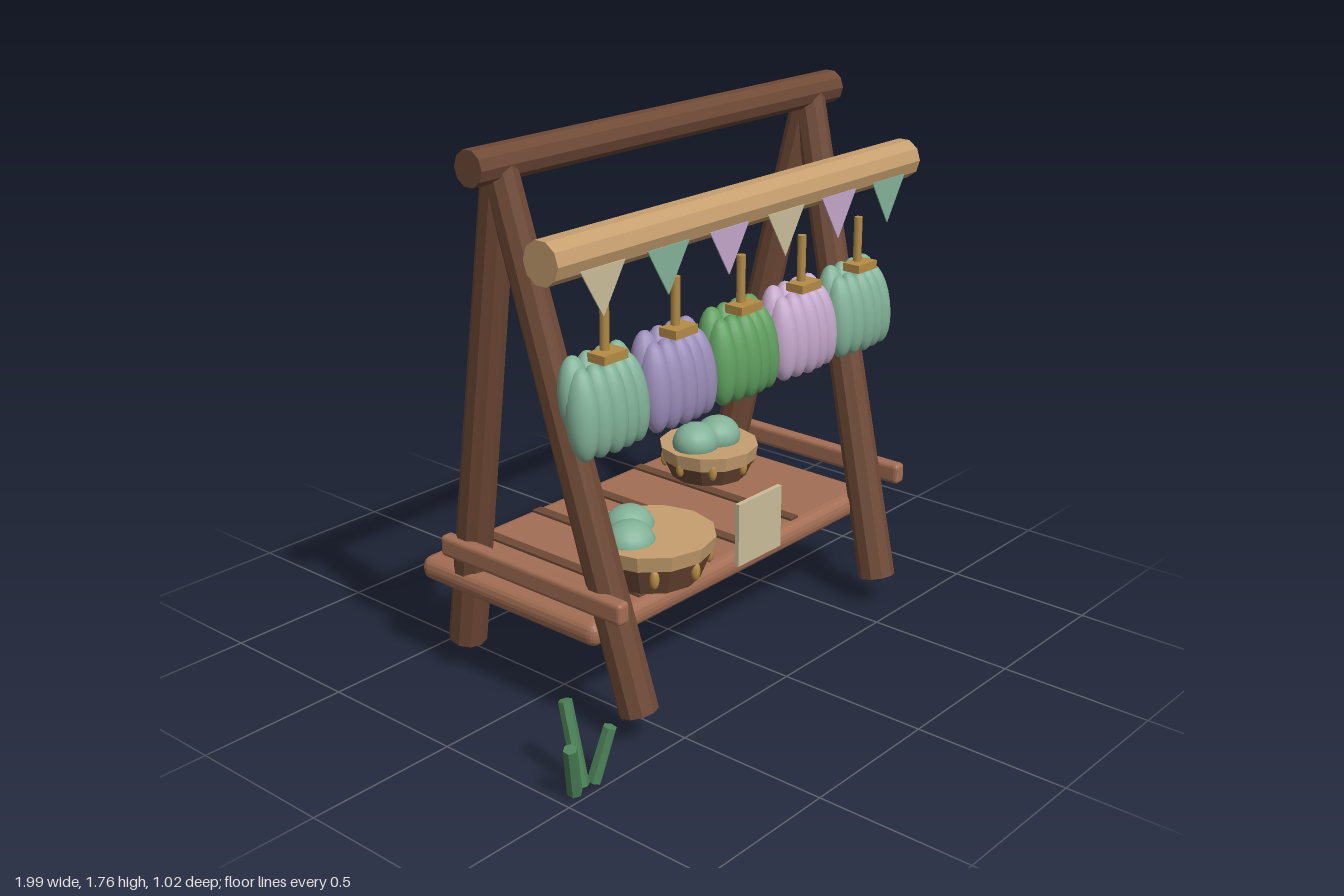
import * as THREE from 'three';
import { RoundedBoxGeometry } from 'three/addons/geometries/RoundedBoxGeometry.js';

const paint = (name, color, opts = {}) => {
  const m = new THREE.MeshStandardMaterial({ color, ...opts });
  m.name = name;
  return m;
};

export function createModel() {
  const root = new THREE.Group();
  root.name = 'marketStall';
  const flat = { flatShading: true };
  const darkWood = paint('dark wood', 0x6e4936, flat);
  const shelfWood = paint('shelf wood', 0xa36e54, flat);
  const tan = paint('pale wood', 0xc69f6f, flat);
  const gold = paint('gold', 0xb48c45);
  const sage = paint('sage', 0x82b298);
  const purple = paint('purple', 0x9a8cb8);
  const green = paint('leaf green', 0x5f9f5f);
  const lilac = paint('lilac', 0xc3a6ca);
  const cream = paint('cream', 0xcabd97);
  const grass = paint('grass', 0x4c8457, flat);

  const add = (parent, name, geo, mat, x = 0, y = 0, z = 0) => {
    const m = new THREE.Mesh(geo, mat);
    m.name = name;
    m.position.set(x, y, z);
    parent.add(m);
    return m;
  };
  const group = (name, x = 0, y = 0, z = 0) => {
    const g = new THREE.Group();
    g.name = name;
    g.position.set(x, y, z);
    root.add(g);
    return g;
  };
  // Round pole running from point a to point b
  const pole = (parent, name, a, b, rA, rB, sides, mat) => {
    const va = new THREE.Vector3(...a), vb = new THREE.Vector3(...b);
    const dir = vb.clone().sub(va);
    const m = add(parent, name, new THREE.CylinderGeometry(rB, rA, dir.length(), sides), mat);
    m.position.copy(va).add(vb).multiplyScalar(0.5);
    m.quaternion.setFromUnitVectors(new THREE.Vector3(0, 1, 0), dir.normalize());
    return m;
  };
  const ball = new THREE.SphereGeometry(1, 16, 12);
  const ellipsoid = (parent, name, mat, pos, size) => {
    const m = add(parent, name, ball, mat, ...pos);
    m.scale.set(...size);
    return m;
  };

  // A-frame: ridge pole, four splayed legs and the front hanging pole
  const frame = group('frame');
  pole(frame, 'ridgePole', [-0.815, 1.712, -0.018], [0.857, 1.712, -0.018], 0.055, 0.055, 10, darkWood);
  for (const s of [-1, 1])
    for (const [name, z] of [['frontLeg', 0.405], ['backLeg', -0.33]])
      pole(frame, name, [0.015 + s * 0.615, 0.1, z], [0.017 + s * 0.717, 1.7, -0.015], 0.062, 0.052, 10, darkWood);
  pole(frame, 'hangingPole', [-0.837, 1.502, 0.275], [0.88, 1.502, 0.275], 0.066, 0.066, 10, tan);

  // Shelf with dark battens and side rails
  const shelf = group('shelf');
  add(shelf, 'shelfBoard', new RoundedBoxGeometry(1.405, 0.08, 0.76, 2, 0.034), shelfWood, 0.022, 0.331, -0.077);
  for (const x of [-0.425, -0.178, 0.067, 0.33])
    add(shelf, 'batten', new THREE.BoxGeometry(0.04, 0.016, 0.7), darkWood, x, 0.371, -0.08);
  for (const x of [-0.678, 0.722])
    add(shelf, 'sideRail', new RoundedBoxGeometry(0.048, 0.07, 0.755, 2, 0.014), shelfWood, x, 0.453, 0.047);

  // Baskets: tapered body, capped rim, gold studs and round fruit
  const basket = (x, z, r, top, fruits) => {
    const g = group('basket', x, 0, z);
    const h = top - 0.045 - 0.415;
    add(g, 'basketBody', new THREE.CylinderGeometry(r * 0.94, r * 0.76, h, 12), darkWood, 0, 0.415 + h / 2, 0);
    add(g, 'basketRim', new THREE.CylinderGeometry(r, r * 0.95, 0.05, 12), tan, 0, top - 0.025, 0);
    for (let i = 0; i < 8; i++) {
      const a = (i * Math.PI) / 4;
      const rr = r * 0.88;
      const stud = ellipsoid(g, 'basketStud', gold, [Math.sin(a) * rr, 0.475, Math.cos(a) * rr], [0.015, 0.032, 0.015]);
      stud.rotation.y = a;
    }
    for (const [fx, fz] of fruits)
      ellipsoid(g, 'fruit', sage, [fx, 0.545, fz], [0.082, 0.069, 0.078]);
  };
  basket(-0.358, 0.24, 0.203, 0.553, [[-0.09, -0.005], [-0.003, -0.085]]);
  basket(0.38, -0.143, 0.172, 0.528, [[-0.065, -0.005], [0.035, 0.01]]);

  // Blank upright card at the front of the shelf
  add(root, 'card', new THREE.BoxGeometry(0.217, 0.212, 0.016), cream, 0.064, 0.455, 0.325);

  // Hanging bunches: stem, tie and two rows of drooping petals
  [sage, purple, green, lilac, sage].forEach((mat, k) => {
    const g = group('bunch', -0.595 + k * 0.305, 0, 0.28);
    add(g, 'bunchStem', new THREE.CylinderGeometry(0.014, 0.014, 0.17, 8), gold, 0, 1.265, 0);
    add(g, 'bunchTie', new THREE.BoxGeometry(0.1, 0.027, 0.065), gold, 0, 1.188, 0.012);
    for (let i = -2; i <= 2; i++) {
      const p = ellipsoid(g, 'frontPetal', mat, [i * 0.051, 1.035, 0.02 - Math.abs(i) * 0.006], [0.05, 0.137, 0.052]);
      p.rotation.set(-0.13, 0, i * 0.03);
    }
    for (let i = -1.5; i <= 1.5; i++) {
      const p = ellipsoid(g, 'backPetal', mat, [i * 0.064, 1.083, -0.028], [0.052, 0.117, 0.045]);
      p.rotation.set(-0.13, 0, i * 0.03);
    }
  });

  // Triangular pennants along the hanging pole
  const tri = new THREE.Shape([[-0.09, 0], [0, -0.145], [0.09, 0]].map(p => new THREE.Vector2(...p)));
  const flagGeo = new THREE.ExtrudeGeometry(tri, { depth: 0.004, bevelEnabled: false });
  [cream, sage, lilac, cream, lilac, sage].forEach((mat, i) =>
    add(root, 'pennant', flagGeo, mat, -0.664 + i * 0.2725, 1.473, 0.339));

  // Grass tufts: one tall blade leaning back, two short ones leaning out
  for (const [x, z] of [[-0.9, 0.455], [0.895, -0.43]]) {
    const g = group('grassTuft', x, 0, z);
    pole(g, 'tallBlade', [0, 0.008, 0], [0, 0.26, -0.06], 0.023, 0.021, 6, grass);
    for (const s of [-1, 1])
      pole(g, 'shortBlade', [s * 0.04, 0.008, 0.01], [s * 0.082, 0.176, 0.036], 0.023, 0.021, 6, grass);
  }
  return root;
}
